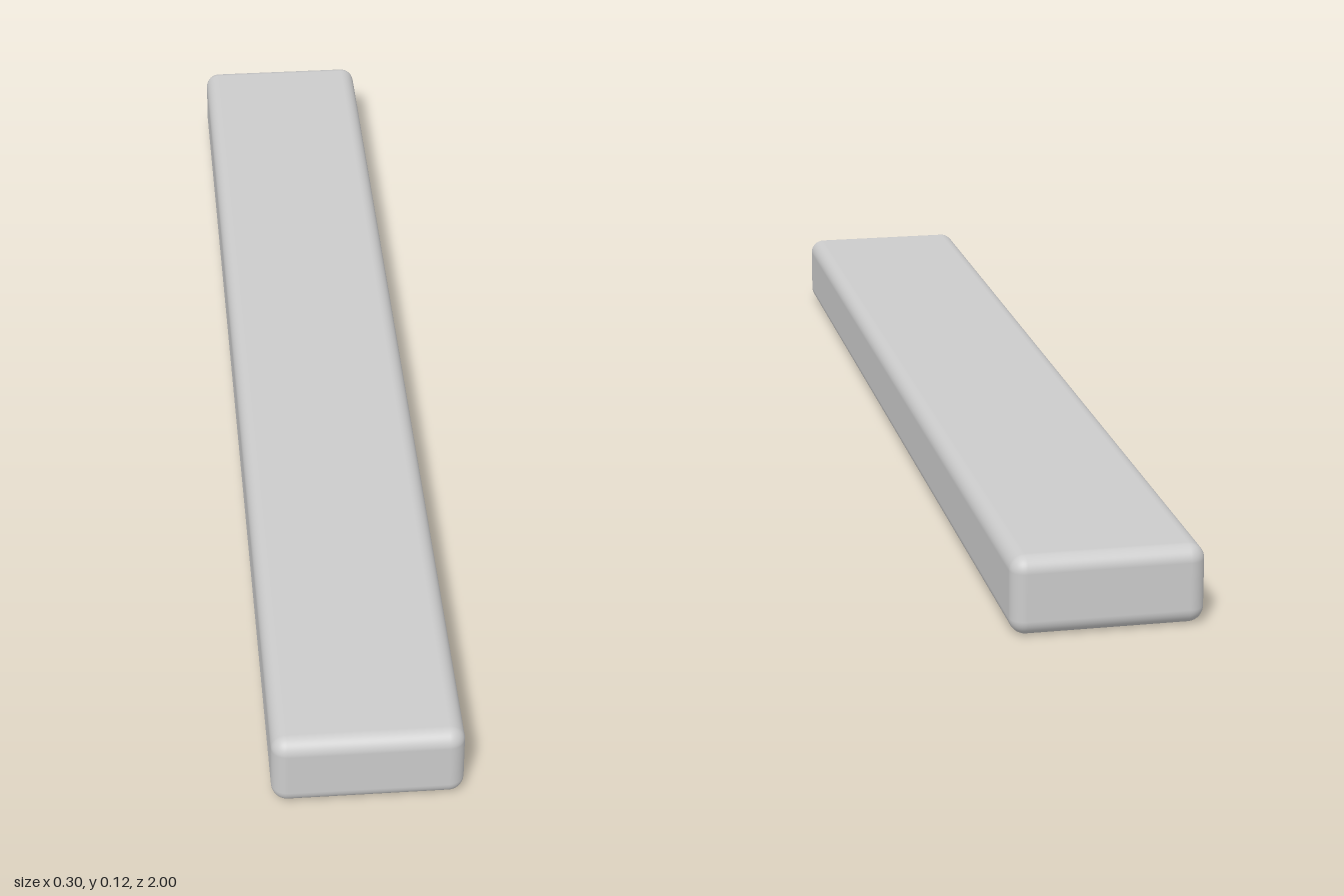
import * as THREE from 'three';
import { RoundedBoxGeometry } from 'three/addons/geometries/RoundedBoxGeometry.js';

const W = 0.3, H = 0.125, L = 2, R = 0.025; // housing size and edge radius
const DEPTH = 0.11;                         // depth of the recess
const CELLS = 16, BLADE = 0.004;            // louvre cells along the length, blade thickness

// Drops the flat triangles lying on the underside, leaving an opening.
function openBottom(geometry) {
  const g = geometry.index ? geometry.toNonIndexed() : geometry;
  g.computeBoundingBox();
  const floor = g.boundingBox.min.y + 1e-5;
  const { position, normal } = g.attributes;
  const pos = [], nor = [];
  for (let i = 0; i < position.count; i += 3) {
    if ([0, 1, 2].every(k => position.getY(i + k) < floor)) continue;
    for (let k = i; k < i + 3; k++) {
      pos.push(position.getX(k), position.getY(k), position.getZ(k));
      nor.push(normal.getX(k), normal.getY(k), normal.getZ(k));
    }
  }
  const out = new THREE.BufferGeometry();
  out.setAttribute('position', new THREE.Float32BufferAttribute(pos, 3));
  out.setAttribute('normal', new THREE.Float32BufferAttribute(nor, 3));
  return out;
}

export function createModel() {
  const model = new THREE.Group();
  model.name = 'ceilingLight';
  const grey = new THREE.MeshStandardMaterial({ color: 0xcccccc });
  const thin = new THREE.MeshStandardMaterial({ color: 0xcccccc, side: THREE.DoubleSide });

  function add(parent, name, geometry, y, z = 0, material = grey) {
    const mesh = new THREE.Mesh(geometry, material);
    mesh.name = name;
    mesh.position.set(0, y, z);
    parent.add(mesh);
  }

  // Rounded housing, open below
  add(model, 'housing', openBottom(new RoundedBoxGeometry(W, H, L, 5, R)), H / 2, 0, thin);

  // Recess lining: four walls and a ceiling
  const w = W - 2 * R, l = L - 2 * R;
  add(model, 'recess', openBottom(new THREE.BoxGeometry(w, DEPTH, l)), DEPTH / 2, 0, thin);

  // Louvre grid: one long divider and evenly spaced cross blades
  const louvre = new THREE.Group();
  louvre.name = 'louvre';
  model.add(louvre);
  add(louvre, 'divider', new THREE.BoxGeometry(BLADE, DEPTH, l), DEPTH / 2);
  const blade = new THREE.BoxGeometry(w, DEPTH, BLADE);
  for (let i = 1; i < CELLS; i++) {
    add(louvre, 'crossBlade', blade, DEPTH / 2, -l / 2 + (l * i) / CELLS);
  }
  return model;
}
